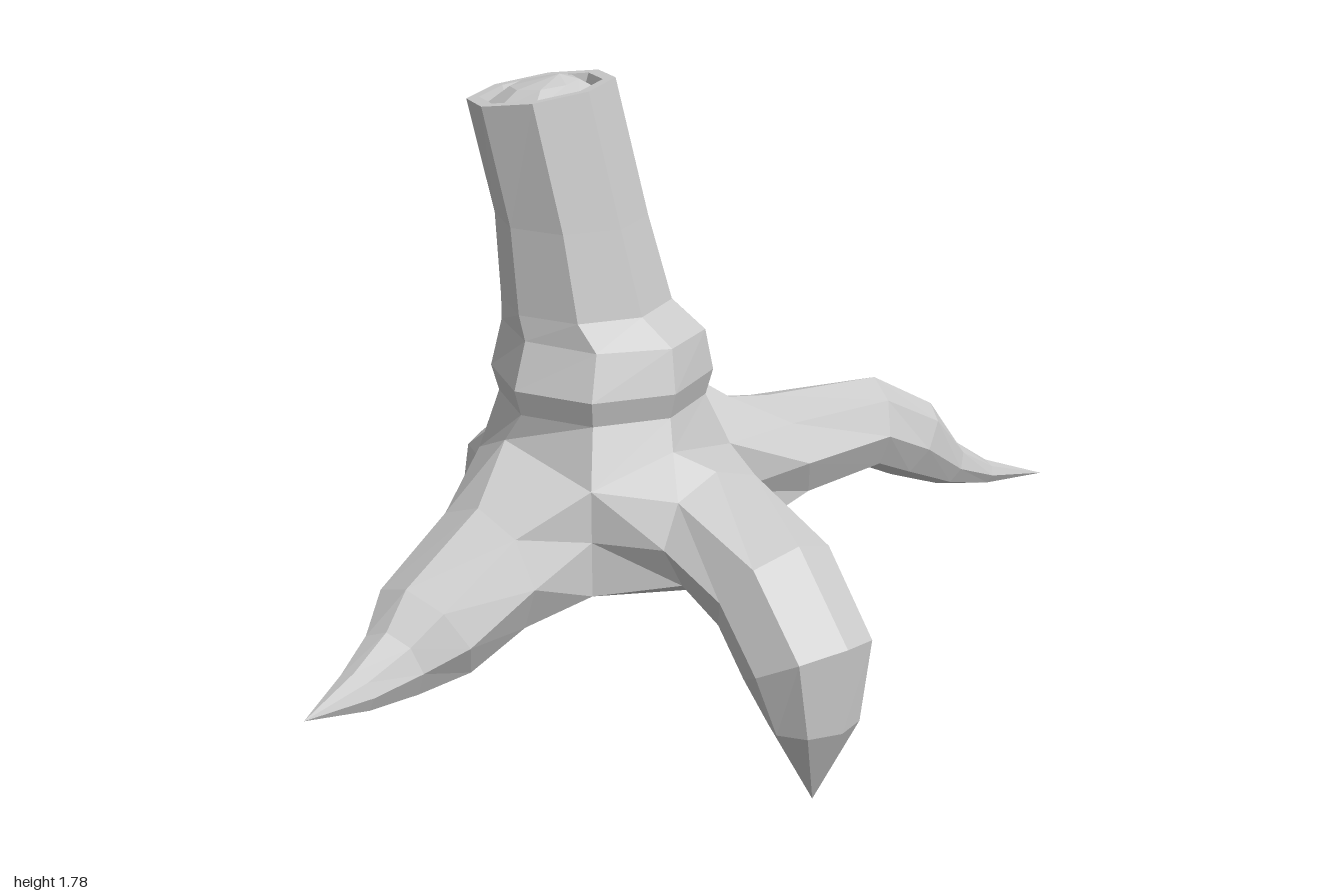
import * as THREE from 'three';

const SIDES = 8;
const material = new THREE.MeshStandardMaterial({ color: 0xcccccc, flatShading: true });
const vec = (x, y, z) => new THREE.Vector3(x, y, z);

// Foot of the trunk: notches between the roots alternate with the root crests
const foot = [
  [0.07, 0.77, -0.1], [0.03, 0.84, -0.27],
  [-0.18, 0.77, -0.41], [-0.48, 0.84, -0.24],
  [-0.6, 0.74, 0], [-0.47, 0.84, 0.19],
  [-0.2, 0.77, 0.33], [-0.02, 0.84, 0.18],
].map((p) => vec(...p));
const underside = vec(-0.25, 0.5, -0.04);

// Skin a list of closed rings (counter-clockwise along the path)
function loft(name, rings) {
  const pos = [];
  const tri = (a, b, c) => {
    const area = b.clone().sub(a).cross(c.clone().sub(a)).length();
    if (area > 1e-7) for (const p of [a, b, c]) pos.push(p.x, p.y, p.z);
  };
  for (let i = 0; i < rings.length - 1; i++) {
    for (let j = 0; j < SIDES; j++) {
      const k = (j + 1) % SIDES;
      const a = rings[i][j], b = rings[i][k], c = rings[i + 1][k], d = rings[i + 1][j];
      tri(a, b, c);
      tri(a, c, d);
    }
  }
  const geometry = new THREE.BufferGeometry();
  geometry.setAttribute('position', new THREE.Float32BufferAttribute(pos, 3));
  geometry.computeVertexNormals();
  const mesh = new THREE.Mesh(geometry, material);
  mesh.name = name;
  return mesh;
}

// Upright ring: height, centre x/z, radii, tilt of the ring plane along x
function trunkRing([y, cx, cz, rx, rz, tilt = 0]) {
  return Array.from({ length: SIDES }, (_, j) => {
    const a = (j / SIDES) * Math.PI * 2 + 0.17;
    const dx = rx * Math.cos(a);
    return vec(cx + dx, y + tilt * dx, cz - rz * Math.sin(a));
  });
}

// Opening in the trunk's foot that a root grows from, around one crest
function rootMouth(crest) {
  const a = foot[(crest + 1) % SIDES], b = foot[crest - 1];
  const drop = (p, d) => vec(p.x, p.y - d, p.z);
  return [drop(a, 0.14), a, foot[crest], b, drop(b, 0.14), drop(b, 0.29), underside, drop(a, 0.29)];
}

// Root: stations of x, y, z, half width, half height; the last one is the tip
function root(name, crest, stations) {
  const pts = stations.map(([x, y, z]) => vec(x, y, z));
  const last = pts.length - 1;
  const rings = stations.map(([, , , w, h], i) => {
    const before = i ? pts[i - 1] : underside;
    const tangent = pts[Math.min(i + 1, last)].clone().sub(before).normalize();
    // follow the bend in plan unless the root is plunging straight down
    const flat = tangent.clone().setY(0);
    const heading = flat.length() > 0.5 ? flat : pts[last].clone().sub(pts[0]).setY(0);
    const side = vec(0, 1, 0).cross(heading).normalize();
    const up = tangent.clone().cross(side).normalize();
    return Array.from({ length: SIDES }, (_, j) => {
      const a = (j / SIDES) * Math.PI * 2;
      return pts[i].clone()
        .addScaledVector(side, w * Math.cos(a))
        .addScaledVector(up, h * Math.sin(a));
    });
  });
  return loft(name, [rootMouth(crest), ...rings]);
}

export function createModel() {
  const group = new THREE.Group();
  group.name = 'treeStump';

  // Leaning trunk with a swollen collar and a rimmed, domed cut top
  group.add(loft('trunk', [foot, ...[
    [0.92, -0.26, -0.015, 0.275, 0.275],
    [0.99, -0.26, -0.015, 0.295, 0.295],
    [1.11, -0.255, -0.015, 0.27, 0.245, -0.03],
    [1.18, -0.3, -0.015, 0.225, 0.23],
    [1.41, -0.335, -0.005, 0.2, 0.205],
    [1.74, -0.41, 0, 0.193, 0.193, 0.16],
    [1.74, -0.41, 0, 0.16, 0.16, 0.16],
    [1.715, -0.41, 0, 0.15, 0.15, 0.16],
    [1.755, -0.4, 0, 0.09, 0.09, 0.12],
    [1.78, -0.36, 0, 0, 0],
  ].map(trunkRing)]));

  // Front left root, bending straight down to its point
  group.add(root('frontLeftRoot', 7, [
    [0.1, 0.63, 0.17, 0.2, 0.16],
    [0.27, 0.54, 0.29, 0.18, 0.17],
    [0.38, 0.385, 0.385, 0.175, 0.17],
    [0.4, 0.22, 0.4, 0.125, 0.11],
    [0.4, 0, 0.4, 0, 0],
  ]));

  // Front right root, stretching forward
  group.add(root('frontRightRoot', 5, [
    [-0.48, 0.54, 0.36, 0.19, 0.18],
    [-0.59, 0.43, 0.53, 0.165, 0.15],
    [-0.64, 0.385, 0.655, 0.1, 0.1],
    [-0.685, 0.375, 0.81, 0.06, 0.055],
    [-0.75, 0.38, 1, 0, 0],
  ]));

  // Back right root, short and hooked
  group.add(root('backRightRoot', 3, [
    [-0.59, 0.57, -0.41, 0.14, 0.15],
    [-0.71, 0.49, -0.51, 0.095, 0.11],
    [-0.77, 0.4, -0.56, 0.055, 0.06],
    [-0.77, 0.23, -0.57, 0, 0],
  ]));

  // Back left root, raised at the knee then running out long
  group.add(root('backLeftRoot', 1, [
    [0.15, 0.68, -0.37, 0.18, 0.15],
    [0.37, 0.7, -0.54, 0.135, 0.13],
    [0.48, 0.63, -0.615, 0.1, 0.115],
    [0.57, 0.53, -0.71, 0.065, 0.065],
    [0.66, 0.47, -0.82, 0.045, 0.035],
    [0.81, 0.41, -1, 0, 0],
  ]));

  return group;
}
